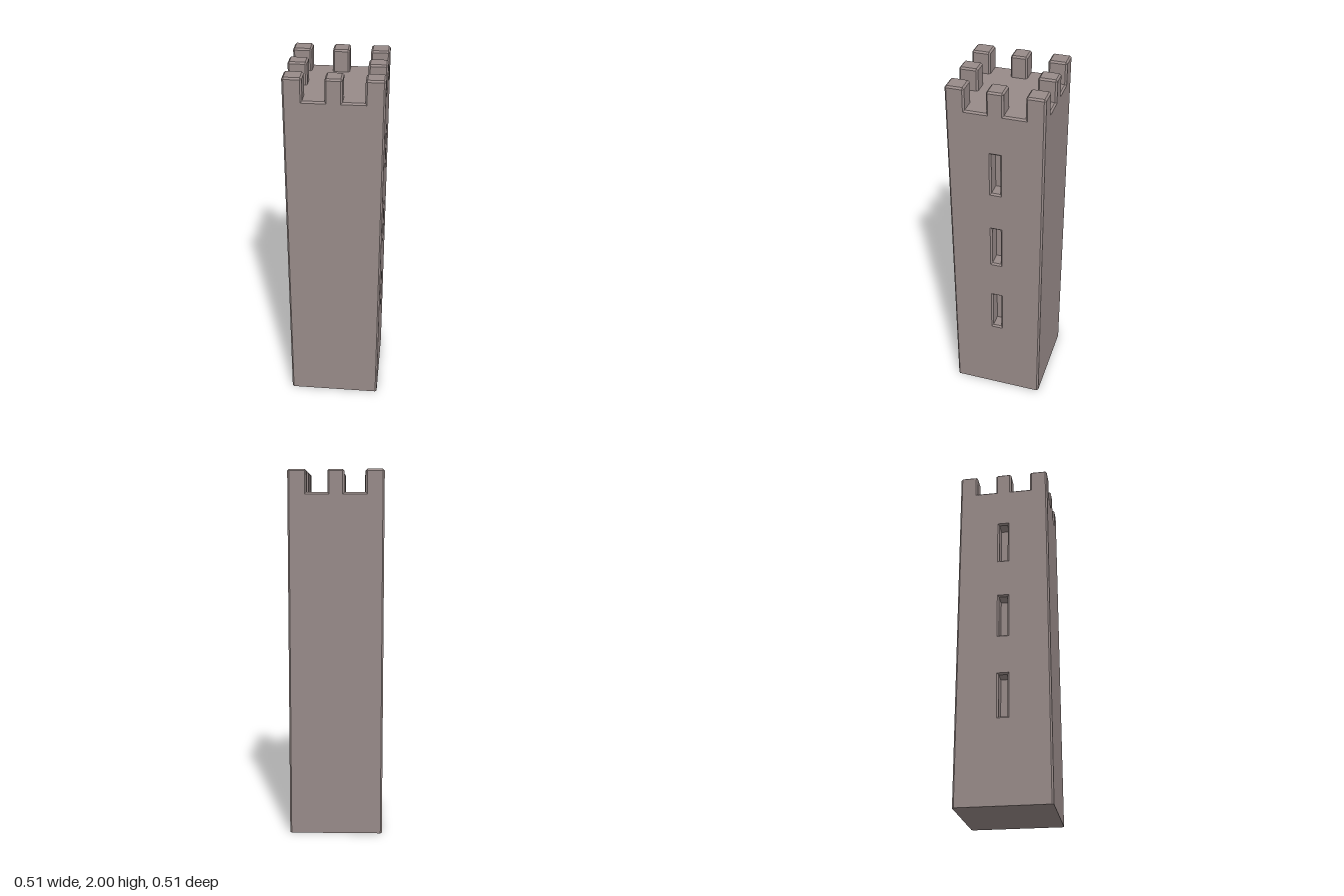
import * as THREE from 'three';
import { ConvexGeometry } from 'three/addons/geometries/ConvexGeometry.js';

const H = 0.257;          // half width of the tower
const B = 0.009;          // chamfer size
const I = H - B;          // half width inside the chamfers
const DECK = 1.879;       // roof deck height
const RIM = DECK - B;     // lower edge of the deck chamfer
const SLIT = { w: 0.033, h: 0.127, depth: 0.08, heights: [0.591, 1.06, 1.529] };

const stone = new THREE.MeshStandardMaterial({ color: 0x988b89, flatShading: true });

// Flat-faced mesh from convex polygons, corners anticlockwise from outside
function polygons(name, faces) {
  const pos = [];
  for (const f of faces)
    for (let i = 1; i < f.length - 1; i++) pos.push(...f[0], ...f[i], ...f[i + 1]);
  const g = new THREE.BufferGeometry();
  g.setAttribute('position', new THREE.Float32BufferAttribute(pos, 3));
  g.computeVertexNormals();
  return named(name, g);
}

function named(name, geometry) {
  const mesh = new THREE.Mesh(geometry, stone);
  mesh.name = name;
  return mesh;
}

const rect = (w, h, y, z) => [[-w, y - h, z], [w, y - h, z], [w, y + h, z], [-w, y + h, z]];

// Recessed window slit with a chamfered rim
function windowSlit(y) {
  const { w, h, depth } = SLIT;
  const rings = [rect(w, h, y, H), rect(w - B, h - B, y, H - B), rect(w - B, h - B, y, H - depth)];
  const faces = [rings[2]];
  for (let r = 0; r < 2; r++)
    for (let i = 0; i < 4; i++) {
      const j = (i + 1) % 4;
      faces.push([rings[r][i], rings[r][j], rings[r + 1][j], rings[r + 1][i]]);
    }
  return polygons('windowSlit', faces);
}

// One side of the tower, facing +z, with its right-hand corner
function side(withWindows) {
  const g = new THREE.Group();
  g.name = withWindows ? 'windowSide' : 'plainSide';
  const path = (pts) => pts.map(([x, y]) => new THREE.Vector2(x, y));
  const wall = new THREE.Shape(path(rect(I, RIM / 2, RIM / 2, 0)));
  if (withWindows)
    for (const y of SLIT.heights) {
      wall.holes.push(new THREE.Path(path(rect(SLIT.w, SLIT.h, y, 0).reverse())));
      g.add(windowSlit(y));
    }
  g.add(named('wall', new THREE.ShapeGeometry(wall).translate(0, 0, H)));
  g.add(polygons('chamfers', [
    [[I, 0, H], [H, 0, I], [H, RIM, I], [I, RIM, H]],
    [[-I, RIM, H], [I, RIM, H], [I, DECK, I], [-I, DECK, I]],
    [[I, RIM, H], [H, RIM, I], [I, DECK, I]],
    [[-I, 0, I], [I, 0, I], [I, 0, H], [-I, 0, H]],
    [[I, 0, I], [H, 0, I], [I, 0, H]],
  ]));
  return g;
}

// Battlement block with chamfered upright and top edges
function merlon(x, z, hx, hz) {
  const pts = [];
  for (const sx of [-1, 1])
    for (const sz of [-1, 1]) {
      for (const y of [RIM, 2 - B]) {
        pts.push(new THREE.Vector3(x + sx * hx, y, z + sz * (hz - B)));
        pts.push(new THREE.Vector3(x + sx * (hx - B), y, z + sz * hz));
      }
      pts.push(new THREE.Vector3(x + sx * (hx - B), 2, z + sz * (hz - B)));
    }
  return named('merlon', new ConvexGeometry(pts));
}

export function createModel() {
  const tower = new THREE.Group();
  tower.name = 'tower';

  // Four sides, windows on left and right
  for (let k = 0; k < 4; k++) {
    const s = side(k % 2 === 1);
    s.rotation.y = k * Math.PI / 2;
    tower.add(s);
  }

  // Roof deck and underside
  tower.add(polygons('roofDeck', [[[-I, DECK, I], [I, DECK, I], [I, DECK, -I], [-I, DECK, -I]]]));
  tower.add(polygons('underside', [[[-I, 0, -I], [I, 0, -I], [I, 0, I], [-I, 0, I]]]));

  // Battlements: corners and middles, none in the centre
  const half = (i) => (i === 0 ? 0.045 : 0.05);
  for (const i of [-1, 0, 1])
    for (const j of [-1, 0, 1])
      if (i || j) tower.add(merlon(i * (H - 0.05), j * (H - 0.05), half(i), half(j)));

  return tower;
}
